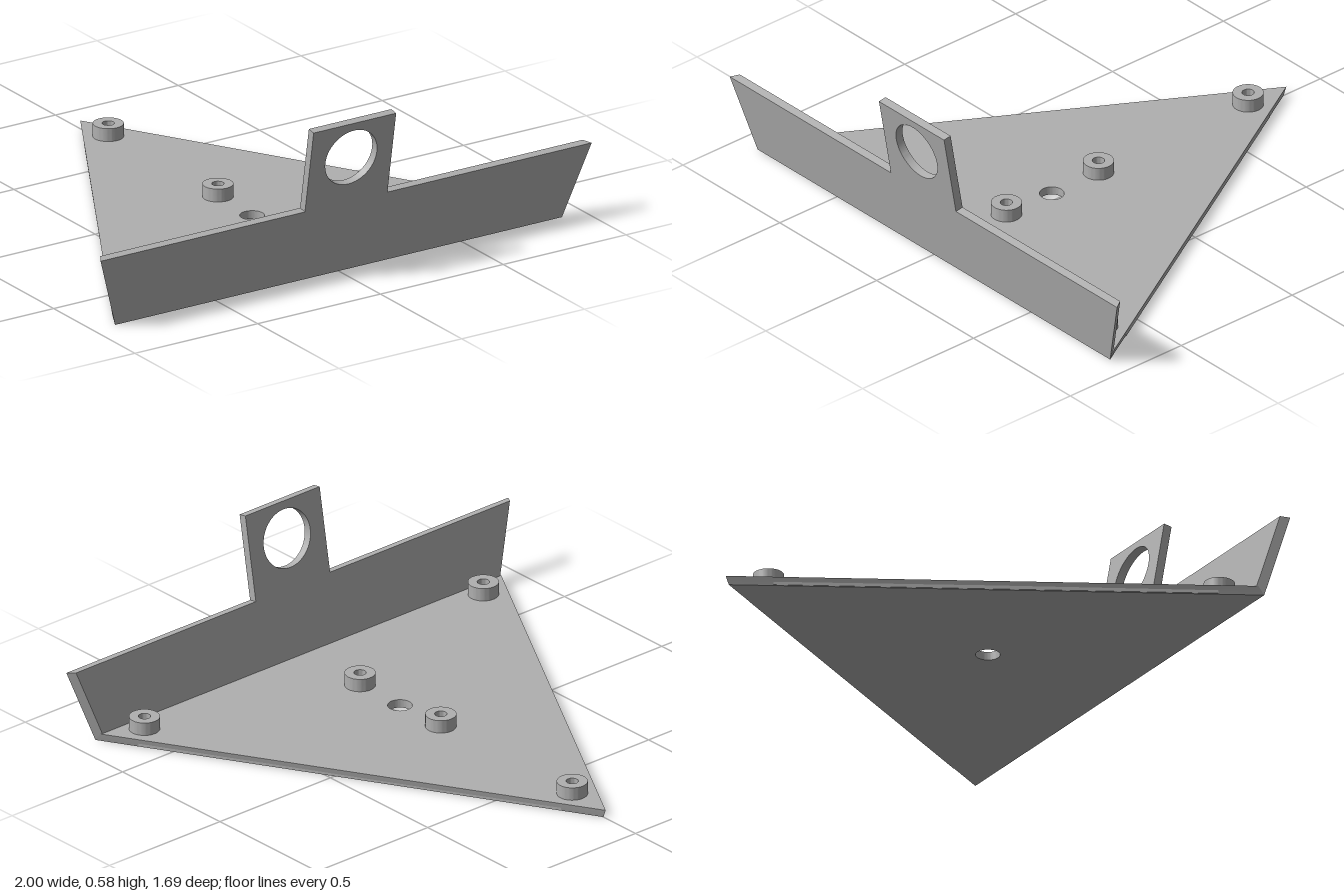
import * as THREE from 'three';
import { toCreasedNormals } from 'three/addons/utils/BufferGeometryUtils.js';

const grey = new THREE.MeshStandardMaterial({ color: 0xb0b0b0 });
grey.name = 'plain grey';

const T = 0.03; // sheet thickness

function circle(x, y, r) {
  return new THREE.Path().absarc(x, y, r, 0, Math.PI * 2, true);
}

function polygon(points) {
  return new THREE.Shape(points.map(([x, y]) => new THREE.Vector2(x, y)));
}

// Extrude a shape, optionally move its vertices by a rule, keep edges sharp
function slab(name, shape, depth, rule) {
  const geo = new THREE.ExtrudeGeometry(shape, { depth, bevelEnabled: false, curveSegments: 32 });
  if (rule) {
    const p = geo.attributes.position;
    const v = new THREE.Vector3();
    for (let i = 0; i < p.count; i++) {
      rule(v.fromBufferAttribute(p, i));
      p.setXYZ(i, v.x, v.y, v.z);
    }
  }
  const mesh = new THREE.Mesh(toCreasedNormals(geo, 0.6), grey);
  mesh.name = name;
  return mesh;
}

export function createModel() {
  const model = new THREE.Group();
  model.name = 'triangularBracket';

  // Triangular base plate, its sides leaning slightly outward to the top
  const baseShape = polygon([[-0.91, -0.742], [0.91, -0.742], [0, 0.835]]);
  baseShape.holes.push(circle(0, -0.21, 0.042));
  const base = slab('basePlate', baseShape, T, (v) => {
    if (v.z < T / 2) return;
    if (Math.abs(v.x) > 0.5) v.set(Math.sign(v.x) * 0.907, -0.72, v.z);
    else if (v.y > 0.5) v.y = 0.847;
  });
  base.rotation.x = -Math.PI / 2;
  model.add(base);

  // Thin strips along the two slanting edges
  for (const s of [-1, 1]) {
    const a = [s * 0.835, -0.605], b = [s * 0.078, 0.705], c = [s * 0.06, 0.695], d = [s * 0.817, -0.615];
    const strip = slab('edgeStrip', polygon([a, b, c, d]), 0.018);
    strip.rotation.x = -Math.PI / 2;
    strip.position.y = 0.002;
    model.add(strip);
  }

  // Leaning front wall with a raised tab and a round opening, ends mitred
  const wallShape = polygon([
    [-0.91, 0], [0.91, 0], [1, 0.271], [0.168, 0.271], [0.168, 0.581],
    [-0.168, 0.581], [-0.168, 0.271], [-1, 0.271],
  ]);
  wallShape.holes.push(circle(0, 0.447, 0.105));
  const wall = slab('frontWall', wallShape, T, (v) => {
    if (v.z < T / 2 && Math.abs(v.x) > 0.5) v.x -= Math.sign(v.x) * 0.018;
    v.z -= T;
  });
  wall.rotation.x = THREE.MathUtils.degToRad(10);
  wall.position.z = 0.742;
  model.add(wall);

  // Ring-shaped standoffs on the plate
  const ring = new THREE.Shape().absarc(0, 0, 0.053, 0, Math.PI * 2, false);
  ring.holes.push(circle(0, 0, 0.021));
  for (const [x, z] of [[0, -0.675], [0, 0], [0, 0.415], [-0.767, 0.652], [0.767, 0.652]]) {
    const standoff = slab('standoff', ring, 0.048);
    standoff.rotation.x = -Math.PI / 2;
    standoff.position.set(x, T - 0.001, z);
    model.add(standoff);
  }

  return model;
}
